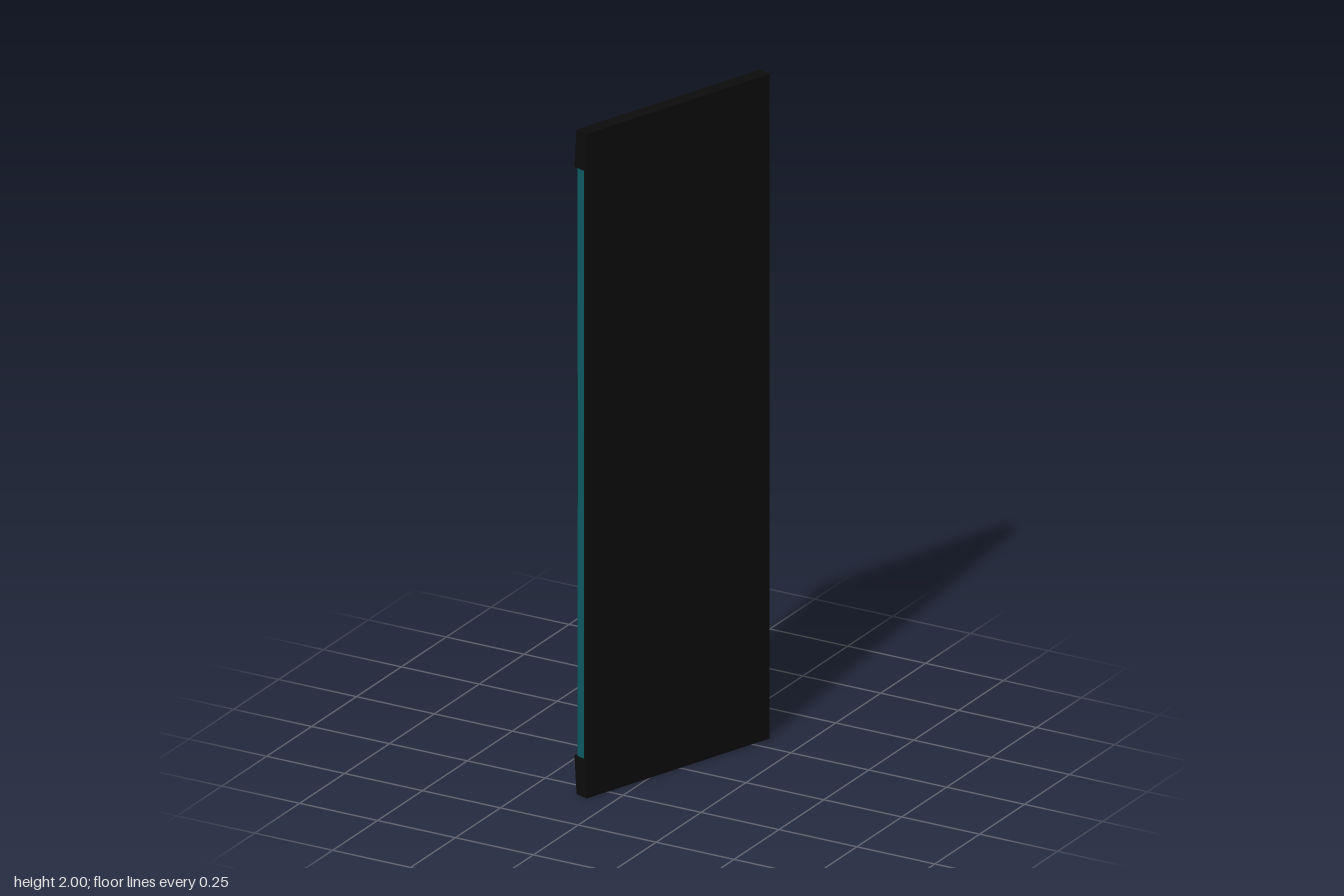
import * as THREE from 'three';

const HEIGHT = 2, WIDTH = 0.67;         // door leaf
const BACK = 0.012, GLASS = 0.041;      // depths measured from the flat rear face
const STILE = 0.078, RAIL = 0.115;      // frame widths
const OUTER = 0.043, INNER = 0.052;     // frame depth at its outer and inner edge

// Extrudes a closed profile of [across, depth] points
function prism(points, length) {
  const shape = new THREE.Shape(points.map(([a, d]) => new THREE.Vector2(a, d)));
  return new THREE.ExtrudeGeometry(shape, { depth: length, bevelEnabled: false });
}

// Applies a rule to every vertex and refreshes the flat normals
function reshape(geometry, rule) {
  const p = geometry.attributes.position;
  const v = new THREE.Vector3();
  for (let i = 0; i < p.count; i++) {
    rule(v.fromBufferAttribute(p, i));
    p.setXYZ(i, v.x, v.y, v.z);
  }
  geometry.computeVertexNormals();
  return geometry;
}

export function createModel() {
  const root = new THREE.Group();
  root.name = 'glassDoor';
  const black = new THREE.MeshStandardMaterial({ color: 0x0c0c0c });
  const teal = new THREE.MeshStandardMaterial({ color: 0x0c5a62 });

  // Local axes of the leaf: x from hinge to handle, y up, z out of the glazed face
  const leaf = new THREE.Group();
  leaf.name = 'doorLeaf';
  leaf.position.set(0.147, 0, -0.31);
  leaf.rotation.y = -1.91;
  root.add(leaf);

  const add = (name, geometry, material, x = 0, y = 0, z = 0) => {
    const mesh = new THREE.Mesh(geometry, material);
    mesh.name = name;
    mesh.position.set(x, y, z);
    leaf.add(mesh);
    return mesh;
  };

  // Flat rear panel
  add('rearPanel', new THREE.BoxGeometry(WIDTH, HEIGHT, BACK), black, WIDTH / 2, HEIGHT / 2, BACK / 2);

  // Two panes running out to the handle edge
  const paneDepth = 0.014;
  for (const [name, z] of [['rearPane', BACK + paneDepth / 2], ['frontPane', GLASS - paneDepth / 2]]) {
    const w = WIDTH - 0.072;
    add(name, new THREE.BoxGeometry(w, HEIGHT - 0.2, paneDepth), teal, 0.07 + w / 2, HEIGHT / 2, z);
  }

  // Hinge stile, sloping outward to its inner edge, with mitred ends
  const stile = prism([[0, BACK], [0.096, BACK], [0.096, GLASS], [STILE, INNER], [0, OUTER]], HEIGHT);
  stile.rotateX(Math.PI / 2).translate(0, HEIGHT, 0);
  reshape(stile, (v) => {
    const cut = Math.min(RAIL, v.x * RAIL / STILE);
    v.y = v.y > 1 ? HEIGHT - cut : cut;
  });
  add('hingeStile', stile, black);

  // Top and bottom rails, mitred where they meet the stile
  const alongLeaf = new THREE.Matrix4().makeBasis(
    new THREE.Vector3(0, 1, 0), new THREE.Vector3(0, 0, 1), new THREE.Vector3(1, 0, 0));
  for (const top of [false, true]) {
    const up = (a) => (top ? HEIGHT - a : a);
    const rail = prism([[up(0), BACK], [up(RAIL), BACK], [up(RAIL), INNER], [up(0), OUTER]], WIDTH);
    rail.applyMatrix4(alongLeaf);
    reshape(rail, (v) => {
      if (v.x < 0.01) v.x = up(v.y) * STILE / RAIL;
    });
    add(top ? 'topRail' : 'bottomRail', rail, black);
  }

  // Pull handle: upright bar on two standoffs
  const hx = 0.615, hz = 0.075;
  add('handleBar', new THREE.CylinderGeometry(0.02, 0.02, 0.4, 32), black, hx, 1.04, hz);
  const post = new THREE.CylinderGeometry(0.015, 0.015, hz - GLASS + 0.004, 24).rotateX(Math.PI / 2);
  for (const y of [0.87, 1.21]) add('handlePost', post, black, hx, y, (hz + GLASS) / 2 - 0.002);

  return root;
}
